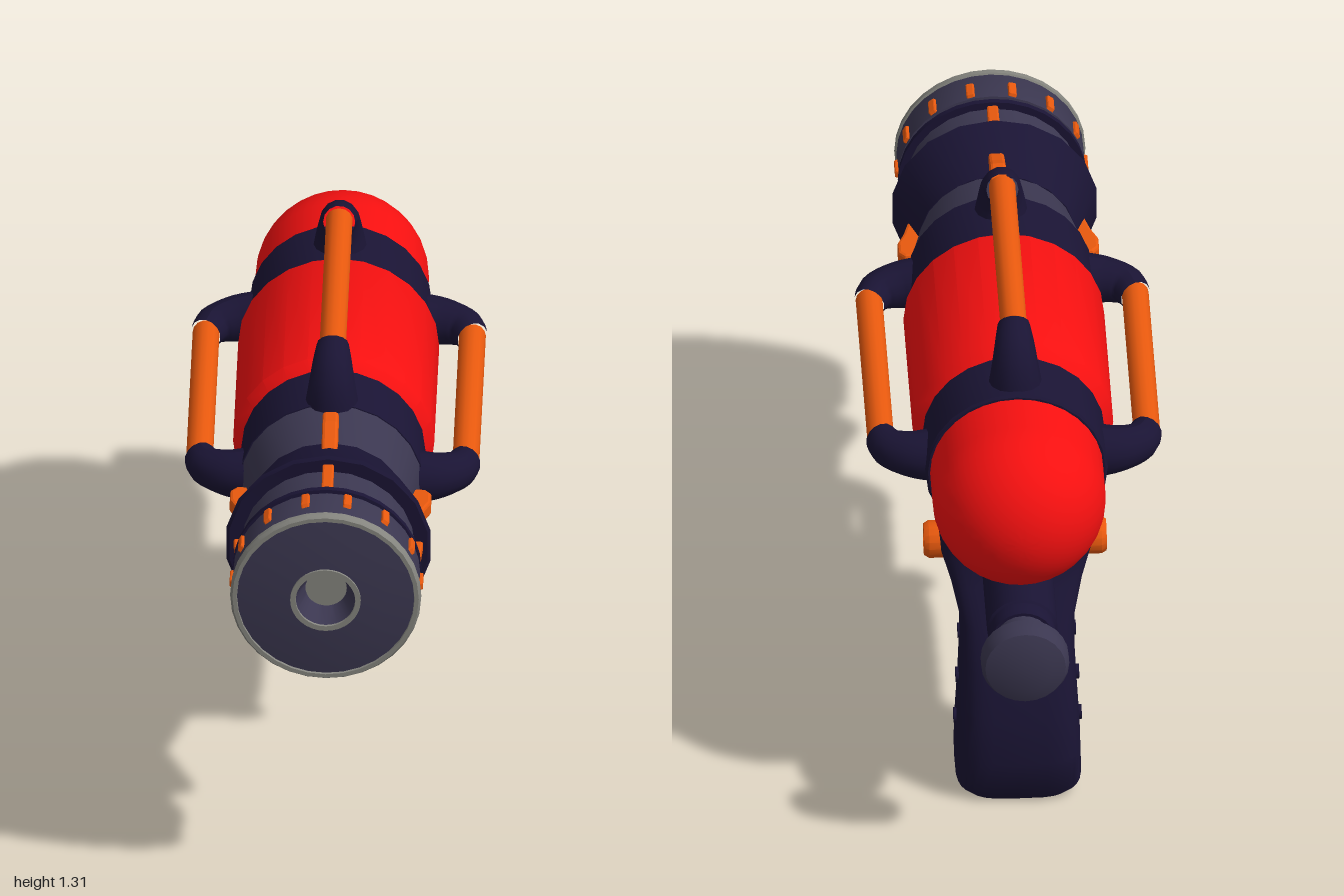
import * as THREE from 'three';
import { toCreasedNormals } from 'three/addons/utils/BufferGeometryUtils.js';

const mat = (color) => new THREE.MeshStandardMaterial({ color });
const AXIS = 0.932; // height of the barrel axis

export function createModel() {
  const root = new THREE.Group();
  const navy = mat(0x1a1434), slate = mat(0x3b3750), orange = mat(0xe8590e);
  const red = mat(0xf51010), grey = mat(0x85857f);
  const body = new THREE.Group();
  body.name = 'barrelAssembly';
  body.position.y = AXIS;
  root.add(body);

  const add = (parent, name, geo, material) => {
    const m = new THREE.Mesh(geo, material);
    m.name = name;
    parent.add(m);
    return m;
  };
  // Turned part along z from [radius, z] pairs, back to front
  const turned = (pts, seg = 24) => toCreasedNormals(
    new THREE.LatheGeometry(pts.map((p) => new THREE.Vector2(...p)), seg).rotateX(Math.PI / 2), 0.6);
  // Side outline of [z, y] pairs, extruded across x
  const plate = (pts, width, bevel = 0.008) => {
    const depth = width - 2 * bevel;
    const geo = new THREE.ExtrudeGeometry(new THREE.Shape(pts.map((p) => new THREE.Vector2(...p))),
      { depth, bevelSize: bevel, bevelThickness: bevel, bevelOffset: -bevel, bevelSegments: 2 });
    return geo.translate(0, 0, -depth / 2).rotateY(-Math.PI / 2);
  };
  // Tube along a curve whose radius runs from r0 to r1
  const taperTube = (curve, r0, r1, seg = 12, sides = 14) => {
    const geo = new THREE.TubeGeometry(curve, seg, 1, sides);
    const p = geo.attributes.position, v = new THREE.Vector3();
    for (let i = 0; i < p.count; i++) {
      const t = Math.floor(i / (sides + 1)) / seg;
      const c = curve.getPointAt(t);
      v.fromBufferAttribute(p, i).sub(c).multiplyScalar(r0 + (r1 - r0) * t).add(c);
      p.setXYZ(i, v.x, v.y, v.z);
    }
    geo.computeVertexNormals();
    return geo;
  };

  // Tank and barrel sections
  const dome = [];
  for (let i = 0; i <= 12; i++) {
    const a = (i / 12) * Math.PI / 2;
    dome.push([0.226 * Math.sin(a), -0.625 - 0.228 * Math.cos(a)]);
  }
  add(body, 'rearTank', turned([...dome, [0.226, -0.48]], 32), red);
  add(body, 'rearBand', turned([[0, -0.5], [0.232, -0.5], [0.238, -0.494], [0.238, -0.32], [0, -0.32]]), navy);
  add(body, 'mainTank', turned([[0.232, -0.33], [0.24, -0.322], [0.262, -0.285], [0.262, 0.205], [0.24, 0.238], [0.232, 0.245]], 24), red);
  add(body, 'frontBand', turned([[0, 0.232], [0.24, 0.232], [0.24, 0.41], [0, 0.41]]), navy);
  add(body, 'barrelTaper', turned([[0.238, 0.405], [0.203, 0.56]]), slate);
  add(body, 'flaredCollar', turned([[0, 0.55], [0.208, 0.55], [0.27, 0.715], [0.262, 0.722], [0, 0.72]], 18), navy);
  add(body, 'nozzleNeck', turned([[0.226, 0.71], [0.226, 0.84]]), slate);
  add(body, 'nozzleRing', turned([[0.22, 0.832], [0.246, 0.832], [0.246, 0.848], [0.232, 0.85], [0.232, 0.862]], 32), navy);
  add(body, 'nozzleCap', turned([[0.22, 0.858], [0.244, 0.862], [0.244, 0.965], [0.238, 0.975]], 32), slate);
  add(body, 'capRim', turned([[0.24, 0.96], [0.249, 0.965], [0.249, 0.978], [0.243, 0.987], [0.232, 0.987], [0.23, 0.975]], 32), grey);
  add(body, 'capFace', turned([[0.236, 0.98], [0.16, 0.99], [0.088, 0.994]], 32), slate);
  add(body, 'muzzleRim', turned([[0.092, 0.985], [0.092, 1.0], [0.078, 1.0], [0.076, 0.985]], 32), grey);
  add(body, 'muzzleBore', turned([[0.078, 0.996], [0.048, 0.92]], 32), slate);
  add(body, 'muzzleDisc', new THREE.CircleGeometry(0.056, 24).translate(0, 0, 0.935), grey);

  // Orange nubs around the cap
  for (let i = 0; i < 14; i++) {
    const pivot = new THREE.Group();
    pivot.rotation.z = ((i + 0.5) / 14) * Math.PI * 2;
    body.add(pivot);
    add(pivot, 'capNub', plate([[0.865, 0.235], [0.87, 0.252], [0.92, 0.252], [0.93, 0.235]], 0.022, 0.004), orange);
  }
  // Strips on the neck, all four sides
  for (let i = 0; i < 4; i++) {
    const strip = add(body, 'neckStrip', plate([[0.7, 0.2], [0.7, 0.248], [0.825, 0.24], [0.835, 0.2]], 0.03, 0.005), orange);
    strip.rotation.z = i * Math.PI / 2;
  }

  // Fin and ribbed hose on the top and both sides
  const elbow = (z, dir) => taperTube(new THREE.CatmullRomCurve3([
    new THREE.Vector3(0, 0.19, z), new THREE.Vector3(0, 0.27, z - dir * 0.005),
    new THREE.Vector3(0, 0.325, z - dir * 0.035), new THREE.Vector3(0, 0.347, z - dir * 0.085)]), 0.075, 0.042);
  for (const [side, turn] of [['top', 0], ['left', -Math.PI / 2], ['right', Math.PI / 2]]) {
    const hose = new THREE.Group();
    hose.name = side + 'Hose';
    hose.rotation.z = turn;
    body.add(hose);
    add(hose, 'frontElbow', elbow(0.37, 1), navy);
    add(hose, 'rearElbow', elbow(-0.415, -1), navy);
    add(hose, 'hoseCore', new THREE.CylinderGeometry(0.035, 0.035, 0.64, 14).rotateX(Math.PI / 2).translate(0, 0.347, -0.02), orange);
    for (let i = 0; i < 9; i++) {
      const z = 0.25 - i * 0.069;
      add(hose, 'hoseRib', turned([[0.03, z - 0.017], [0.046, z - 0.017], [0.046, z + 0.017], [0.03, z + 0.017]], 14), navy);
    }
    add(hose, 'barrelFin', plate([[0.67, 0.19], [0.645, 0.225], [0.57, 0.245], [0.53, 0.262], [0.485, 0.262],
      [0.465, 0.245], [0.465, 0.19]], 0.042, 0.008), orange);
  }

  // Lower receiver, pump rod and knob
  const lower = new THREE.Group();
  lower.name = 'pump';
  lower.position.y = 0.642;
  root.add(lower);
  add(lower, 'receiver', turned([[0, -0.85], [0.08, -0.85], [0.086, -0.84], [0.086, -0.81], [0.092, -0.805], [0.092, 0.27], [0.085, 0.28], [0, 0.28]], 24), navy);
  add(lower, 'pumpRod', turned([[0.06, -0.92], [0.06, -0.875], [0.072, -0.87], [0.072, -0.84]], 20), slate);
  add(lower, 'pumpKnob', turned([[0, -1], [0.07, -0.996], [0.105, -0.985], [0.115, -0.965], [0.115, -0.93], [0.1, -0.91], [0, -0.905]], 24), slate);
  add(root, 'receiverSaddle', new THREE.BoxGeometry(0.184, 0.1, 0.62).translate(0, 0.69, -0.03), navy);
  add(root, 'lowerFairing', plate([[0.68, 0.72], [0.62, 0.695], [0.54, 0.675], [0.45, 0.62], [0.4, 0.602], [0.27, 0.602],
    [0.27, 0.74], [0.6, 0.74]], 0.075, 0.012), orange);

  // Grip lofted from rows of [frontY, frontZ, backY, backZ, halfWidth]
  const rows = [[0.075, -0.4, 0.005, -0.66, 0.145], [0.095, -0.387, 0.025, -0.677, 0.165], [0.2, -0.392, 0.13, -0.69, 0.162],
    [0.32, -0.394, 0.25, -0.677, 0.155], [0.43, -0.375, 0.38, -0.645, 0.149], [0.51, -0.355, 0.49, -0.6, 0.15],
    [0.58, -0.335, 0.58, -0.54, 0.172], [0.65, -0.32, 0.65, -0.505, 0.196], [0.74, -0.32, 0.74, -0.5, 0.203],
    [0.9, -0.32, 0.9, -0.5, 0.228]];
  const N = 32, pos = [], idx = [];
  const soft = (v) => Math.sign(v) * Math.abs(v) ** 0.5;
  for (const [yF, zF, yB, zB, w] of rows) {
    for (let i = 0; i < N; i++) {
      const a = (i / N) * Math.PI * 2, t = (soft(Math.cos(a)) + 1) / 2;
      pos.push(w * soft(Math.sin(a)), yB + (yF - yB) * t, zB + (zF - zB) * t);
    }
  }
  pos.push(0, 0.025, -0.53);
  for (let i = 0; i < N; i++) {
    const n = (i + 1) % N;
    for (let j = 0; j < rows.length - 1; j++) {
      const a = j * N + i, b = j * N + n;
      idx.push(a + N, a, b + N, a, b, b + N);
    }
    idx.push(rows.length * N, n, i);
  }
  const gripGeo = new THREE.BufferGeometry();
  gripGeo.setAttribute('position', new THREE.Float32BufferAttribute(pos, 3));
  gripGeo.setIndex(idx);
  add(root, 'grip', toCreasedNormals(gripGeo, 0.8), navy);

  // Side knobs and grip studs
  for (const s of [-1, 1]) {
    const knob = add(root, 'sideKnob', turned([[0.05, 0.17], [0.05, 0.225], [0.042, 0.238], [0.026, 0.238], [0.024, 0.23], [0, 0.23]], 16), orange);
    knob.rotation.y = s * Math.PI / 2;
    knob.position.set(0, 0.652, -0.397);
    for (const [z, y, x] of [[-0.49, 0.425, 0.15], [-0.525, 0.31, 0.157], [-0.537, 0.19, 0.163]]) {
      add(root, 'gripStud', new THREE.CylinderGeometry(0.02, 0.02, 0.008, 16).rotateZ(Math.PI / 2).translate(s * x, y, z), navy);
    }
  }

  // Trigger and guard
  add(root, 'trigger', plate([[-0.14, 0.58], [-0.145, 0.51], [-0.138, 0.45], [-0.125, 0.41], [-0.37, 0.41], [-0.37, 0.58]], 0.08, 0.012), orange);
  const postRows = [[0.57, 0.08], [0.52, 0.065], [0.48, 0.046], [0.45, 0.055], [0.42, 0.072], [0.37, 0.074]];
  const postShape = new THREE.Shape([...postRows.map(([y, x]) => new THREE.Vector2(x, y)),
    ...postRows.map(([y, x]) => new THREE.Vector2(-x, y)).reverse()]);
  add(root, 'guardPost', new THREE.ExtrudeGeometry(postShape, { depth: 0.034, bevelSize: 0.006, bevelThickness: 0.008 })
    .translate(0, 0, 0.16), navy);
  add(root, 'guardHinge', new THREE.CylinderGeometry(0.043, 0.043, 0.14, 20).rotateZ(Math.PI / 2).translate(0, 0.405, 0.172), navy);
  add(root, 'guardPin', new THREE.CylinderGeometry(0.033, 0.033, 0.158, 16).rotateZ(Math.PI / 2).translate(0, 0.405, 0.172), slate);
  add(root, 'guardBar', plate([[0.2, 0.38], [0.15, 0.352], [0.09, 0.334], [0, 0.327], [-0.42, 0.322], [-0.42, 0.354],
    [0, 0.357], [0.09, 0.366], [0.14, 0.395]], 0.1, 0.008), navy);
  return root;
}
